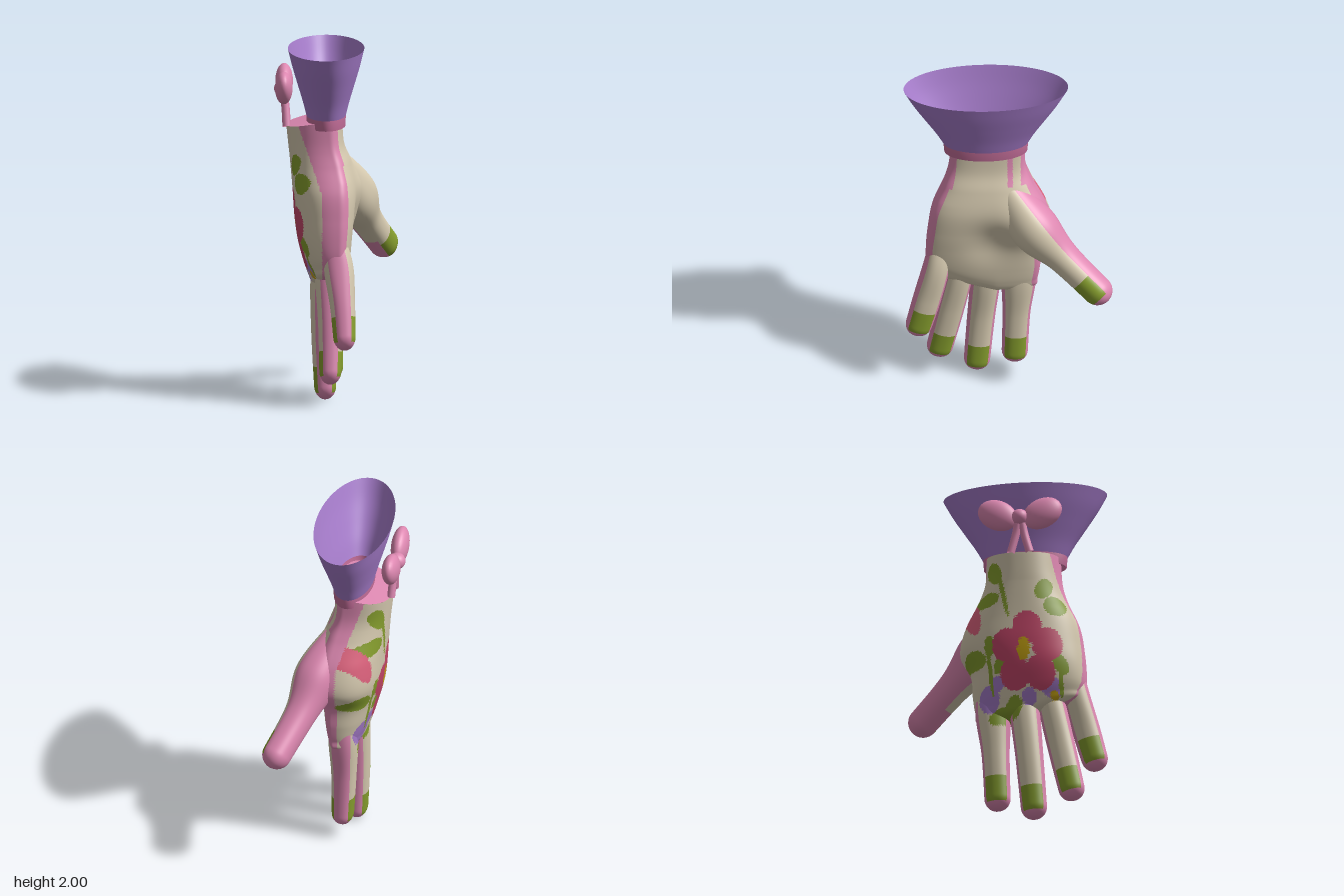
import * as THREE from 'three';

const V = (x, y, z) => new THREE.Vector3(x, y, z);
const mat = (name, color) => {
  const m = new THREE.MeshStandardMaterial({ color, side: THREE.DoubleSide });
  m.name = name;
  return m;
};
const PINK = 0, CREAM = 1, GREEN = 2, RED = 3, YELLOW = 4, VIOLET = 5, CORAL = 6, TRIM = 7;
const mats = [
  mat('pinkFabric', 0xdd88b1), mat('creamFabric', 0xd6cab0), mat('leafGreen', 0x869e2e),
  mat('flowerRed', 0xc6476a), mat('pollenYellow', 0xc9a50f), mat('violetCuff', 0xa77dcc),
  mat('coralBud', 0xe0647f), mat('trimPink', 0xc7709c),
];
const spline = (pts) => new THREE.CatmullRomCurve3(pts, false, 'catmullrom');

// Lofted skin: point(angle, v) gives the surface, paint(centre, angle, v) picks a colour per face
function loft(name, around, along, point, paint) {
  const pos = [], faces = mats.map(() => []);
  for (let i = 0; i <= along; i++)
    for (let j = 0; j < around; j++) pos.push(...point((j / around) * Math.PI * 2, i / along).toArray());
  const at = (k) => V(pos[3 * k], pos[3 * k + 1], pos[3 * k + 2]);
  for (let i = 0; i < along; i++)
    for (let j = 0; j < around; j++) {
      const n = (j + 1) % around;
      const a = i * around + j, b = i * around + n, c = a + around, d = b + around;
      for (const tri of [[a, c, b], [b, c, d]]) {
        const mid = at(tri[0]).add(at(tri[1])).add(at(tri[2])).divideScalar(3);
        faces[paint(mid, ((j + 0.5) / around) * Math.PI * 2, (i + 0.5) / along)].push(...tri);
      }
    }
  const g = new THREE.BufferGeometry();
  g.setAttribute('position', new THREE.Float32BufferAttribute(pos, 3));
  g.setIndex(faces.flat());
  let start = 0;
  faces.forEach((f, k) => {
    if (f.length) g.addGroup(start, f.length, k);
    start += f.length;
  });
  g.computeVertexNormals();
  const mesh = new THREE.Mesh(g, mats);
  mesh.name = name;
  return mesh;
}

// Printed flowers on the back of the hand: colour, z, y, half width, half height, turn
const print = [
  [YELLOW, 0.135, 0.99, 0.035, 0.07, 0],
  ...[0, 1, 2, 3, 4].map((k) => {
    const a = Math.PI / 2 + (k * Math.PI * 2) / 5;
    return [RED, 0.155 + 0.12 * Math.cos(a), 0.97 + 0.145 * Math.sin(a), 0.085, 0.1, 0];
  }),
  [CORAL, -0.17, 1.24, 0.05, 0.14, 0.25],
  [GREEN, -0.03, 1.46, 0.04, 0.07, 0.3], [GREEN, -0.08, 1.3, 0.08, 0.045, 0.2],
  [GREEN, 0.02, 1.33, 0.013, 0.15, 0.2],
  [GREEN, 0.31, 1.25, 0.06, 0.06, 0.3], [GREEN, 0.25, 1.35, 0.045, 0.065, -0.4],
  [GREEN, -0.15, 0.96, 0.07, 0.05, -0.4], [GREEN, -0.06, 1.02, 0.03, 0.06, 0],
  [GREEN, -0.06, 0.88, 0.013, 0.15, 0.1], [GREEN, 0.0, 0.92, 0.03, 0.07, -0.4],
  [GREEN, 0.34, 0.9, 0.04, 0.06, 0.4], [GREEN, 0.34, 0.82, 0.013, 0.1, 0],
  [YELLOW, 0.3, 0.73, 0.025, 0.025, 0],
  [VIOLET, -0.07, 0.72, 0.06, 0.08, 0], [VIOLET, -0.02, 0.8, 0.04, 0.045, 0],
  [VIOLET, 0.16, 0.72, 0.04, 0.05, 0], [VIOLET, 0.29, 0.77, 0.06, 0.055, 0],
  [GREEN, 0.0, 0.62, 0.08, 0.045, 0.3], [GREEN, 0.07, 0.66, 0.045, 0.07, -0.3],
];
function printAt(z, y) {
  for (const [col, cz, cy, rz, ry, turn] of print) {
    const dz = z - cz, dy = y - cy, c = Math.cos(turn), s = Math.sin(turn);
    if (Math.hypot((dz * c + dy * s) / rz, (dy * c - dz * s) / ry) < 1) return col;
  }
  return CREAM;
}

// Palm sections: y, back x, palm x, thumb-side z, little-finger-side z, slant
const sections = [
  [1.61, -0.28, 0.035, -0.095, 0.325, 0], [1.46, -0.268, 0.045, -0.1, 0.335, 0],
  [1.35, -0.258, 0.08, -0.14, 0.365, 0], [1.2, -0.245, 0.115, -0.22, 0.43, 0],
  [1.05, -0.235, 0.115, -0.25, 0.455, 0], [0.92, -0.217, 0.1, -0.19, 0.465, 0.05],
  [0.8, -0.187, 0.084, -0.18, 0.465, 0.13], [0.71, -0.157, 0.068, -0.165, 0.45, 0.25],
  [0.65, -0.125, 0.045, -0.14, 0.42, 0.3], [0.62, -0.05, 0.0, 0.08, 0.2, 0.3],
];
const palmA = spline(sections.map((s) => V(s[0], s[1], s[2])));
const palmB = spline(sections.map((s) => V(s[3], s[4], s[5])));
const bend = (v, p) => Math.sign(v) * Math.abs(v) ** p;
const bump = (z, y, cz, cy, w) => Math.exp(-((z - cz) ** 2 + (y - cy) ** 2) / w);

function palmPoint(t, v) {
  const a = palmA.getPoint(v), b = palmB.getPoint(v);
  const seam = Math.min(0.015, (a.y + 3 * a.z) / 4);
  const s = Math.sin(t), z = (b.x + b.y) / 2 + ((b.y - b.x) / 2) * bend(Math.cos(t), 0.85);
  let x = seam + (s > 0 ? a.z - seam : seam - a.y) * bend(s, 0.8);
  // Hollow of the palm and mound at the thumb root
  if (s > 0) x += s * (0.045 * bump(z, a.x, -0.08, 1.17, 0.025) - 0.03 * bump(z, a.x, 0.1, 1, 0.02));
  const lean = 0.2 * Math.min(0, x + 0.05) * THREE.MathUtils.clamp((a.x - 1.4) / 0.2, 0, 1);
  return V(x, a.x + lean + b.z * (Math.max(z, 0.07) - 0.12), z);
}
function palmPaint(p, t) {
  if (Math.sin(t) > 0) {
    if (p.y > 1.38 && p.z < 0.005 && (p.z > -0.025 || p.z < -0.07)) return PINK;
    return Math.abs(Math.cos(t)) > (p.y > 1.36 && p.z > 0 ? 0.8 : 0.88) ? PINK : CREAM;
  }
  const border = (p.z < 0.1 ? -0.015 : -0.075) - 0.36 * Math.max(0, p.y - 1.2);
  return p.x > border ? PINK : printAt(p.z, p.y);
}

// Finger or thumb: path points with [width, thickness] radii, round tip, facing the palm direction
function digit(name, path, radii, palmDir, thumb) {
  const curve = spline(path), size = spline(radii.map((r) => V(r[0], r[1], 0)));
  const spread = (v) => 1 - (1 - v) ** 1.7;
  const tip = path[path.length - 1];
  const point = (t, v) => {
    const k = spread(v), c = curve.getPoint(k), r = size.getPoint(k), T = curve.getTangent(k);
    const P = palmDir.clone().addScaledVector(T, -palmDir.dot(T)).normalize();
    const S = T.clone().cross(P);
    const cap = Math.sqrt(Math.max(0, 1 - Math.max(0, 1 - c.distanceTo(tip) / r.x) ** 2));
    return c.addScaledVector(P, r.y * cap * bend(Math.sin(t), 0.9))
      .addScaledVector(S, r.x * cap * bend(Math.cos(t), 0.9));
  };
  const paint = (p, t, v) => {
    const d = curve.getPoint(spread(v)).distanceTo(tip);
    const side = Math.abs(Math.cos(t)), front = Math.sin(t) > 0;
    if (thumb && d > 0.24 && Math.cos(t) > 0 && Math.sin(t) > -0.3) return CREAM;
    if (d < 0.042 || side > (thumb ? 0.84 : 0.75) || (thumb && !front)) return PINK;
    if (d < 0.19) return GREEN;
    return front ? CREAM : printAt(p.z, p.y);
  };
  return loft(name, 56, 64, point, paint);
}

function add(parent, name, geometry, material) {
  const m = new THREE.Mesh(geometry, material);
  m.name = name;
  parent.add(m);
  return m;
}

export function createModel() {
  const glove = new THREE.Group();
  glove.name = 'gardenGlove';

  // Hand
  const centre = V(-0.12, 1.6, 0.115);
  glove.add(
    loft('palm', 136, 130, palmPoint, palmPaint),
    loft('wristCap', 64, 2, (t, v) => centre.clone().lerp(palmPoint(t, 0), v), () => PINK),
  );
  // Fingers start slim inside the palm so their roots blend in
  const palmDir = V(1, 0, 0);
  const fingers = [
    ['indexFinger', [V(-0.05, 1.02, -0.06), V(-0.032, 0.72, -0.062), V(-0.03, 0.42, -0.047), V(-0.02, 0.08, -0.035)], 0.1],
    ['middleFinger', [V(-0.07, 1.0, 0.1), V(-0.06, 0.7, 0.12), V(-0.068, 0.38, 0.15), V(-0.058, 0, 0.18)], 0.084],
    ['ringFinger', [V(-0.06, 1.02, 0.22), V(-0.035, 0.76, 0.264), V(-0.028, 0.46, 0.326), V(-0.03, 0.12, 0.4)], 0.077],
    ['littleFinger', [V(-0.04, 1.06, 0.36), V(0.012, 0.82, 0.4), V(0.04, 0.58, 0.46), V(0.055, 0.335, 0.525)], 0.074],
  ];
  for (const [name, path, w] of fingers)
    glove.add(digit(name, path, [[0.06, 0.04], [w, 0.083], [0.079, 0.071], [0.073, 0.06]], palmDir, false));
  glove.add(digit('thumb',
    [V(-0.02, 1.37, 0.035), V(0.095, 1.125, -0.135), V(0.17, 0.95, -0.31), V(0.295, 0.735, -0.555)],
    [[0.07, 0.065], [0.14, 0.125], [0.092, 0.088], [0.082, 0.078]], V(0.85, 0.02, 0.42), true));

  // Flared oval cuff with a trim band
  const cuff = new THREE.Group();
  cuff.name = 'cuff';
  cuff.position.set(-0.055, 0, 0.125);
  cuff.scale.set(0.465, 1, 1);
  const flare = spline([V(0.24, 1.62, 0), V(0.284, 1.7, 0), V(0.348, 1.8, 0), V(0.411, 1.9, 0), V(0.465, 2, 0)]);
  const profile = flare.getPoints(24).map((p) => new THREE.Vector2(p.x, p.y));
  add(cuff, 'cuffFlare', new THREE.LatheGeometry(profile, 72), mats[VIOLET]);
  const band = [[0.225, 1.56], [0.235, 1.56], [0.24, 1.62]].map((p) => new THREE.Vector2(...p));
  add(cuff, 'cuffBand', new THREE.LatheGeometry(band, 72), mats[TRIM]);
  glove.add(cuff);

  // Bow on the back of the wrist
  const bow = new THREE.Group();
  bow.name = 'bow';
  bow.position.set(-0.293, 1.77, 0.123);
  for (const side of [-1, 1]) {
    const loop = add(bow, 'bowLoop', new THREE.SphereGeometry(1, 32, 20), mats[PINK]);
    loop.scale.set(0.05, 0.088, 0.118);
    loop.position.set(0, 0.022, side * 0.127);
    loop.rotation.x = -side * 0.5;
    const path = spline([V(-0.005, -0.02, side * 0.01), V(0.008, -0.1, side * 0.025), V(0.015, -0.21, side * 0.055)]);
    add(bow, 'bowTail', new THREE.TubeGeometry(path, 16, 0.023, 12), mats[PINK]);
  }
  add(bow, 'bowKnot', new THREE.SphereGeometry(0.048, 24, 16), mats[PINK]).position.x = -0.008;
  glove.add(bow);
  return glove;
}
